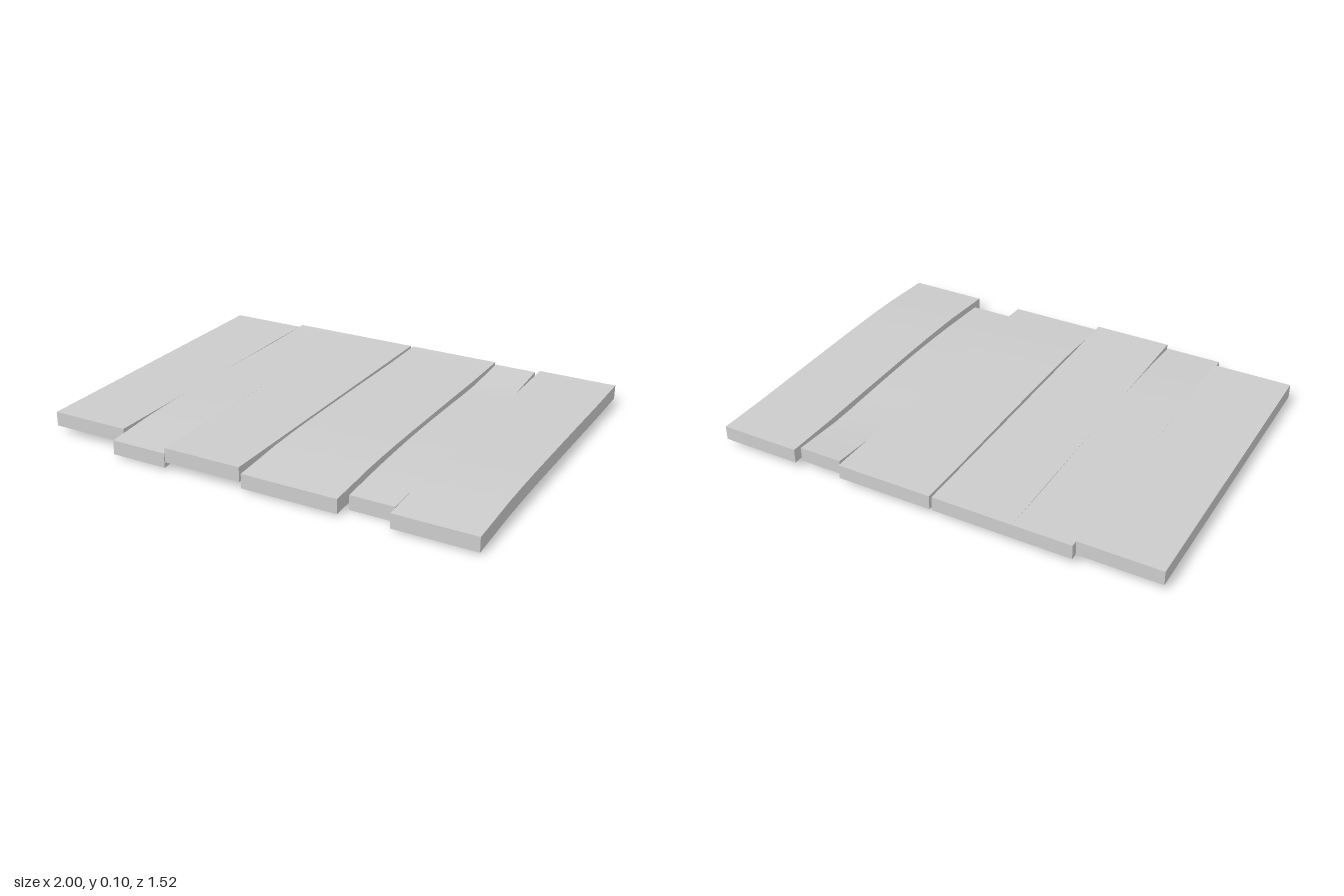
import * as THREE from 'three';

const THICK = 0.064;
const TOP = 0.1;

// Sag below the common top level, sampled evenly from back to front
const FLAT = [0, 0];
const BENT = [0, 0.003, 0.001, 0, 0, 0.006, 0.023];
const LOOSE = [0, 0.018, 0.017, 0.014, 0.015, 0.022, 0.034];

// x range, z range, sag profile, bulge of the long edges
const PLANKS = [
  { x: [-1.0, -0.64], z: [-0.735, 0.69], sag: FLAT, bulge: 0 },
  { x: [-0.64, -0.382], z: [-0.765, 0.76], sag: BENT, bulge: 0 },
  { x: [-0.382, -0.024], z: [-0.765, 0.755], sag: FLAT, bulge: 0 },
  { x: [-0.012, 0.418], z: [-0.765, 0.76], sag: BENT, bulge: 0 },
  { x: [0.431, 0.626], z: [-0.74, 0.69], sag: LOOSE, bulge: 0.005 },
  { x: [0.641, 1.0], z: [-0.765, 0.76], sag: BENT, bulge: 0 },
];

function plankGeometry({ x, z, sag, bulge }) {
  const width = x[1] - x[0], length = z[1] - z[0];
  const geo = new THREE.BoxGeometry(width, THICK, length, 1, 1, sag.length > 2 ? 12 : 1);
  const curve = new THREE.SplineCurve(sag.map((s, i) => new THREE.Vector2(i, s)));
  const pos = geo.attributes.position;
  // Bend the board along its length and swell its long edges
  for (let i = 0; i < pos.count; i++) {
    const t = THREE.MathUtils.clamp(pos.getZ(i) / length + 0.5, 0, 1);
    pos.setY(i, pos.getY(i) - curve.getPoint(t).y);
    pos.setX(i, pos.getX(i) + Math.sign(pos.getX(i)) * bulge * Math.sin(Math.PI * t));
  }
  geo.translate((x[0] + x[1]) / 2, TOP - THICK / 2, (z[0] + z[1]) / 2);
  geo.computeVertexNormals();
  return geo;
}

export function createModel() {
  const group = new THREE.Group();
  group.name = 'plankFloor';
  const material = new THREE.MeshStandardMaterial({ color: 0xcccccc });
  PLANKS.forEach((plank, i) => {
    const mesh = new THREE.Mesh(plankGeometry(plank), material);
    mesh.name = `plank${i + 1}`;
    group.add(mesh);
  });
  return group;
}
